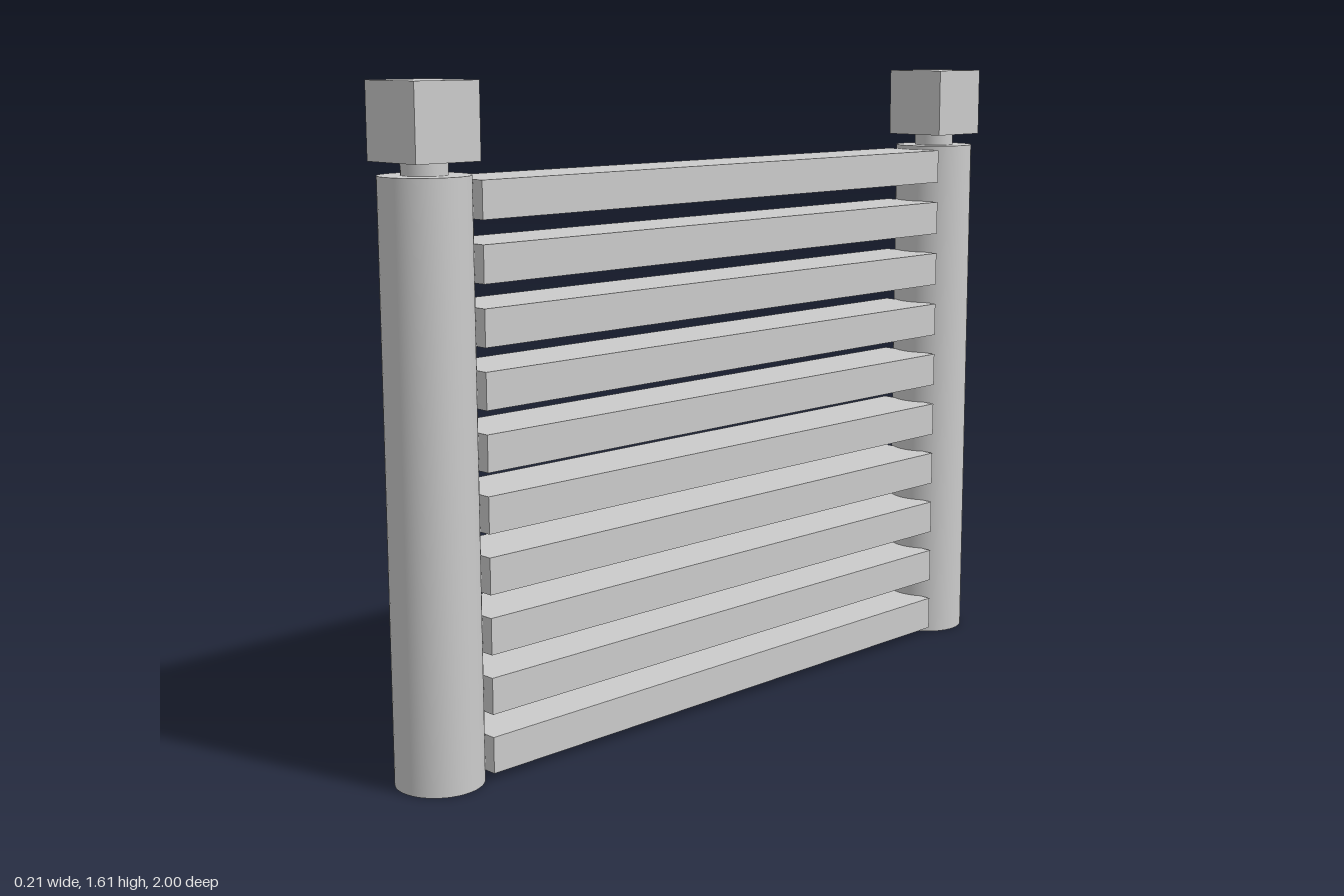
import * as THREE from 'three';

export function createModel() {
  const group = new THREE.Group();
  const material = new THREE.MeshStandardMaterial({ color: 0xcccccc });
  const add = (name, geometry, y, z, parent = group) => {
    const mesh = new THREE.Mesh(geometry, material);
    mesh.name = name;
    mesh.position.set(0, y, z);
    parent.add(mesh);
  };

  // Round posts, each with a thin neck and a cubic cap
  const postHeight = 1.404, postRadius = 0.105, postZ = 0.895;
  const neckHeight = 0.03, capSize = 0.177;
  for (const [side, name] of [[1, 'frontPost'], [-1, 'backPost']]) {
    const post = new THREE.Group();
    post.name = name;
    post.position.z = side * postZ;
    group.add(post);
    add('postShaft', new THREE.CylinderGeometry(postRadius, postRadius, postHeight, 48), postHeight / 2, 0, post);
    add('postNeck', new THREE.CylinderGeometry(0.053, 0.053, neckHeight, 32), postHeight + neckHeight / 2, 0, post);
    add('postCap', new THREE.BoxGeometry(capSize, capSize, capSize), postHeight + neckHeight + capSize / 2, 0, post);
  }

  // Ten evenly spaced horizontal slats between the posts
  const slatGeometry = new THREE.BoxGeometry(0.177, 0.088, 1.61);
  for (let i = 0; i < 10; i++) {
    add(`slat${i + 1}`, slatGeometry, 0.062 + i * 0.143, 0);
  }

  return group;
}
